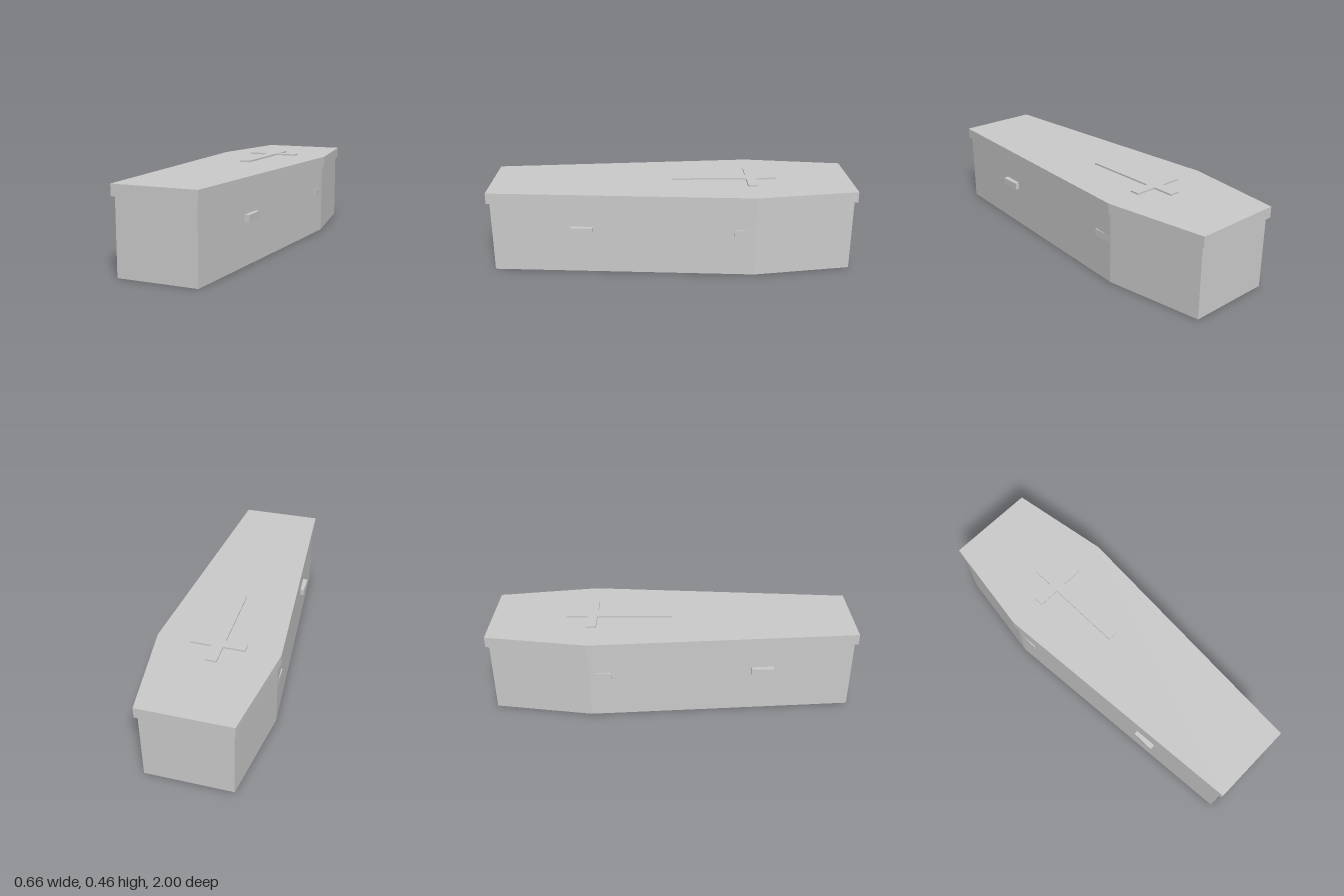
import * as THREE from 'three';

const grey = new THREE.MeshStandardMaterial({ color: 0xcccccc });
grey.name = 'plain grey';

// Upright slab mirrored in x; half is a list of [x, z] points down the +x side
function slab(name, half, y0, y1) {
  const right = half.map(([x, z]) => new THREE.Vector2(x, -z));
  const left = half.map(([x, z]) => new THREE.Vector2(-x, -z)).reverse();
  const geometry = new THREE.ExtrudeGeometry(new THREE.Shape([...right, ...left]), {
    depth: y1 - y0,
    bevelEnabled: false,
  });
  geometry.rotateX(-Math.PI / 2).translate(0, y0, 0);
  const mesh = new THREE.Mesh(geometry, grey);
  mesh.name = name;
  return mesh;
}

export function createModel() {
  const group = new THREE.Group();
  group.name = 'coffin';

  // Six-sided box and its overhanging lid
  group.add(slab('body', [[0.234, -0.983], [0.314, -0.448], [0.215, 0.983]], 0, 0.393));
  group.add(slab('lid', [[0.245, -1], [0.329, -0.448], [0.227, 1]], 0.393, 0.452));

  // Raised cross on the lid
  group.add(slab('cross', [
    [0.03, -0.587], [0.03, -0.47], [0.147, -0.47],
    [0.147, -0.416], [0.03, -0.416], [0.03, -0.003],
  ], 0.452, 0.461));

  // Two handles on each side, the rear pair almost sunk in the wall
  for (const side of [-1, 1]) {
    for (const [name, x, z] of [['frontHandle', 0.259, 0.49], ['rearHandle', 0.2985, -0.39]]) {
      const handle = new THREE.Mesh(new THREE.BoxGeometry(0.03, 0.038, 0.12), grey);
      handle.name = (side > 0 ? 'left ' : 'right ') + name;
      handle.position.set(side * x, 0.246, z);
      group.add(handle);
    }
  }
  return group;
}
